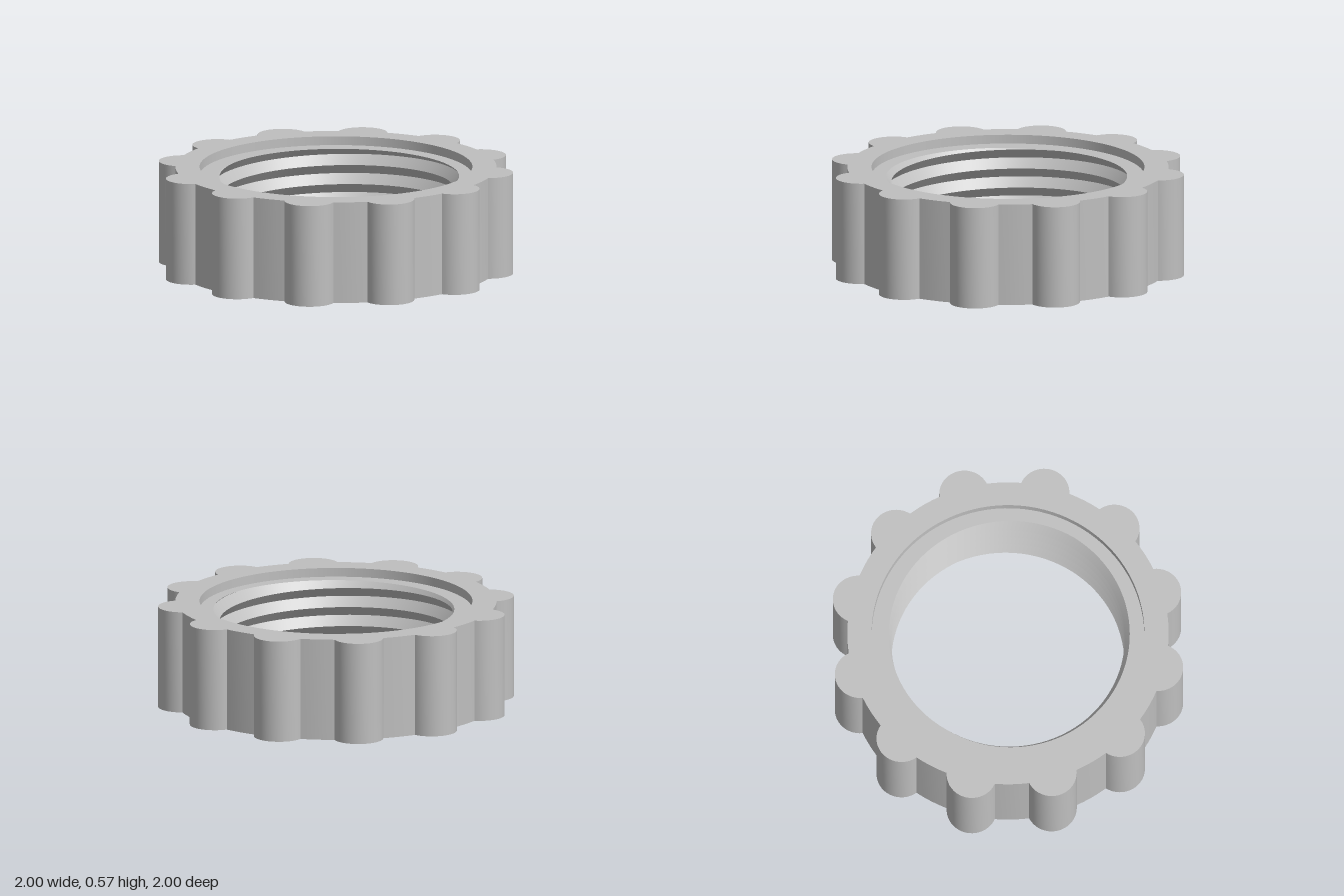
import * as THREE from 'three';
import { toCreasedNormals } from 'three/addons/utils/BufferGeometryUtils.js';

const HEIGHT = 0.575, BODY_R = 0.895, LOBES = 12, LOBE_R = 0.14, LOBE_D = 0.86;
const RECESS_R = 0.76, RECESS = 0.05;
const CREST_R = 0.65, DEPTH = 0.042, PITCH = 0.109, START = 0.556;

// Knurled outer ring: round body with twelve grip lobes and a round opening
function ringGeometry() {
  const ix = (BODY_R ** 2 - LOBE_R ** 2 + LOBE_D ** 2) / (2 * LOBE_D);
  const iy = Math.sqrt(BODY_R ** 2 - ix ** 2);
  const bodyHalf = Math.atan2(iy, ix), lobeHalf = Math.atan2(iy, ix - LOBE_D);
  const step = (Math.PI * 2) / LOBES;
  const points = [];
  const arc = (cx, cy, r, from, to, n) => {
    for (let i = 0; i < n; i++) {
      const a = from + ((to - from) * i) / n;
      points.push(new THREE.Vector2(cx + r * Math.cos(a), cy + r * Math.sin(a)));
    }
  };
  for (let k = 0; k < LOBES; k++) {
    const a = k * step;
    arc(LOBE_D * Math.cos(a), LOBE_D * Math.sin(a), LOBE_R, a - lobeHalf, a + lobeHalf, 20);
    arc(0, 0, BODY_R, a + bodyHalf, a + step - bodyHalf, 4);
  }
  const shape = new THREE.Shape(points);
  const hole = new THREE.Path();
  hole.absarc(0, 0, RECESS_R, 0, Math.PI * 2, true);
  shape.holes.push(hole);
  const geo = new THREE.ExtrudeGeometry(shape, { depth: HEIGHT, bevelEnabled: false, curveSegments: 96 });
  geo.rotateX(-Math.PI / 2);
  return toCreasedNormals(geo, 0.5);
}

// Threaded bore: rows follow the helical crests and roots, closed by a ledge at each end
function threadGeometry() {
  const low = RECESS, high = HEIGHT - RECESS, segments = 96;
  const column = (s) => {
    const turn = s / segments, a = turn * Math.PI * 2;
    const at = (r, y) => new THREE.Vector3(r * Math.cos(a), y, -r * Math.sin(a));
    const rows = [at(RECESS_R, low)];
    for (let j = -12; j <= 3; j++) {
      const y = THREE.MathUtils.clamp(START + (j / 2 - turn) * PITCH, low, high);
      const phase = (y - START) / PITCH + turn;
      const f = phase - Math.floor(phase);
      rows.push(at(CREST_R + DEPTH * (1 - Math.abs(2 * f - 1)), y));
    }
    rows.push(at(RECESS_R, high));
    return rows;
  };
  const positions = [];
  const triangle = (a, b, c) => {
    const area = b.clone().sub(a).cross(c.clone().sub(a)).length();
    if (area > 1e-8) for (const p of [a, b, c]) positions.push(p.x, p.y, p.z);
  };
  for (let s = 0; s < segments; s++) {
    const p = column(s), q = column(s + 1);
    for (let j = 0; j < p.length - 1; j++) {
      triangle(p[j], p[j + 1], q[j]);
      triangle(p[j + 1], q[j + 1], q[j]);
    }
  }
  const geo = new THREE.BufferGeometry();
  geo.setAttribute('position', new THREE.Float32BufferAttribute(positions, 3));
  return toCreasedNormals(geo, 0.5);
}

export function createModel() {
  const group = new THREE.Group();
  group.name = 'threadedRingNut';
  const grey = new THREE.MeshStandardMaterial({ color: 0xbfbfbf });
  grey.name = 'lightGrey';
  const add = (name, geometry) => {
    const mesh = new THREE.Mesh(geometry, grey);
    mesh.name = name;
    group.add(mesh);
  };
  add('gripRing', ringGeometry());
  add('threadedBore', threadGeometry());
  return group;
}
